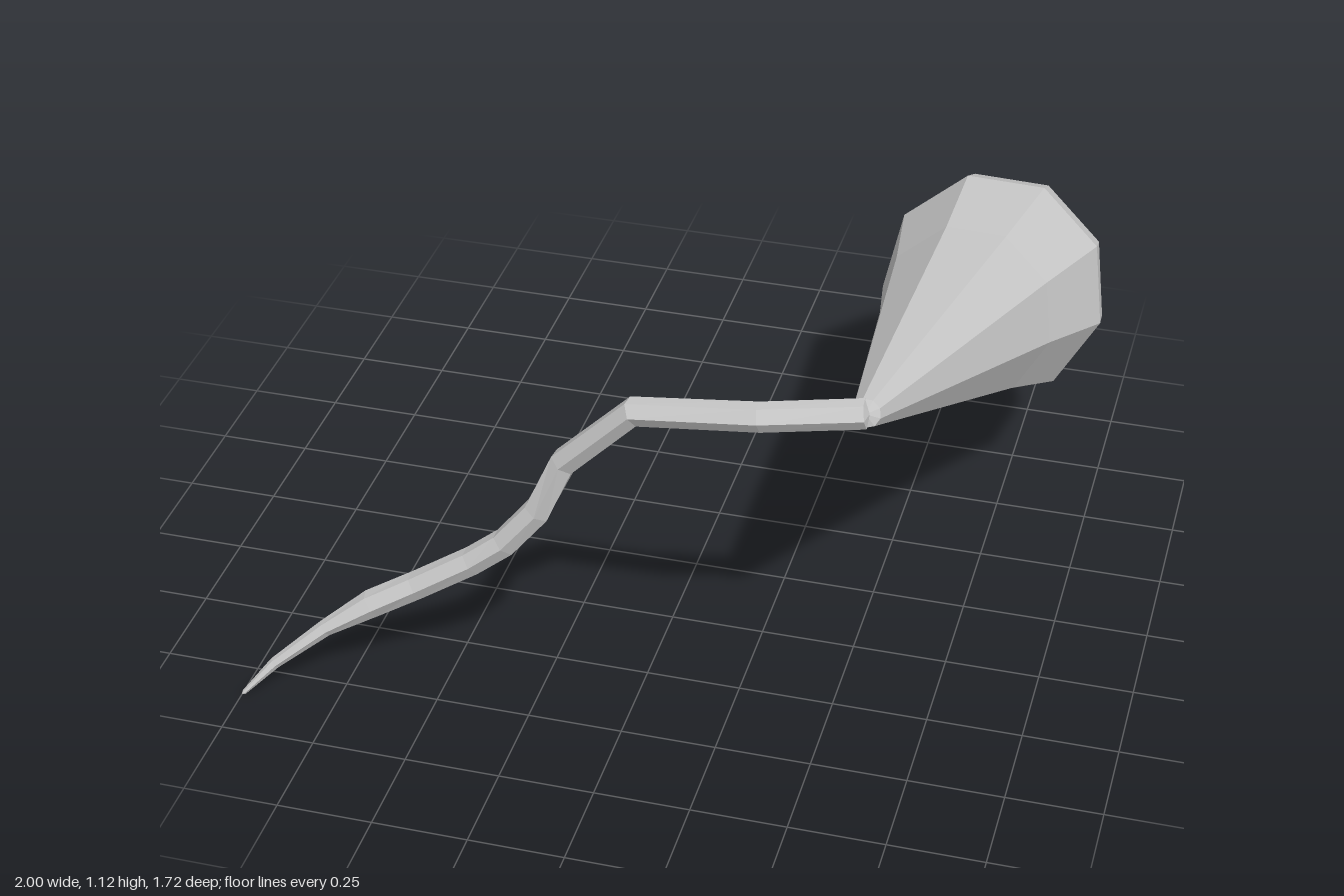
import * as THREE from 'three';

// Skin a row of [centre, radius] rings with n-sided rings square to the path.
function loft(rings, n, startAngle) {
  const up = new THREE.Vector3(0, 1, 0);
  const positions = [], index = [];
  rings.forEach(([c, r], i) => {
    const prev = rings[Math.max(i - 1, 0)][0];
    const next = rings[Math.min(i + 1, rings.length - 1)][0];
    const t = next.clone().sub(prev).normalize();
    const u = t.clone().cross(up).normalize();
    const v = u.clone().cross(t);
    for (let j = 0; j < n; j++) {
      const a = startAngle + (j / n) * Math.PI * 2;
      const p = c.clone().addScaledVector(u, r * Math.cos(a)).addScaledVector(v, r * Math.sin(a));
      positions.push(p.x, p.y, p.z);
      if (i + 1 < rings.length) {
        const k = (j + 1) % n;
        const A = i * n + j, B = i * n + k, C = A + n, D = B + n;
        if (rings[i + 1][1] > 0) index.push(A, C, D);
        if (r > 0) index.push(A, D, B);
      }
    }
  });
  const geometry = new THREE.BufferGeometry();
  geometry.setAttribute('position', new THREE.Float32BufferAttribute(positions, 3));
  geometry.setIndex(index);
  geometry.computeVertexNormals();
  return geometry;
}

export function createModel() {
  const group = new THREE.Group();
  const material = new THREE.MeshStandardMaterial({ color: 0xcccccc, flatShading: true });
  const add = (name, geometry) => {
    const mesh = new THREE.Mesh(geometry, material);
    mesh.name = name;
    group.add(mesh);
  };

  // Curved stalk: x, y, z, radius from the pointed end to the joint
  const stalk = [
    [-1, 0.005, 0.862, 0], [-0.995, 0.01, 0.858, 0.006], [-0.92, 0.09, 0.815, 0.015],
    [-0.79, 0.197, 0.77, 0.022], [-0.67, 0.275, 0.735, 0.037], [-0.55, 0.345, 0.718, 0.037],
    [-0.4, 0.445, 0.71, 0.037], [-0.31, 0.52, 0.71, 0.037], [-0.22, 0.635, 0.71, 0.037],
    [-0.15, 0.79, 0.703, 0.037], [0.04, 0.995, 0.74, 0.037], [0.36, 1.052, 0.768, 0.037],
    [0.61, 1.09, 0.745, 0.037], [0.62, 1.092, 0.744, 0],
  ].map(([x, y, z, r]) => [new THREE.Vector3(x, y, z), r]);
  add('stalk', loft(stalk, 6, 0));

  // Teardrop bulb: distance along its axis from the widest ring, radius
  const joint = new THREE.Vector3(0.61, 1.09, 0.745);
  const centre = new THREE.Vector3(0.69, 0.68, -0.57);
  const axis = centre.clone().sub(joint).normalize();
  const bulb = [
    [-1.385, 0], [-1.375, 0.036], [-0.33, 0.236], [0, 0.312], [0.08, 0.302],
    [0.165, 0.267], [0.235, 0.207], [0.305, 0],
  ].map(([d, r]) => [centre.clone().addScaledVector(axis, d), r]);
  add('bulb', loft(bulb, 9, -Math.PI / 2));

  return group;
}
